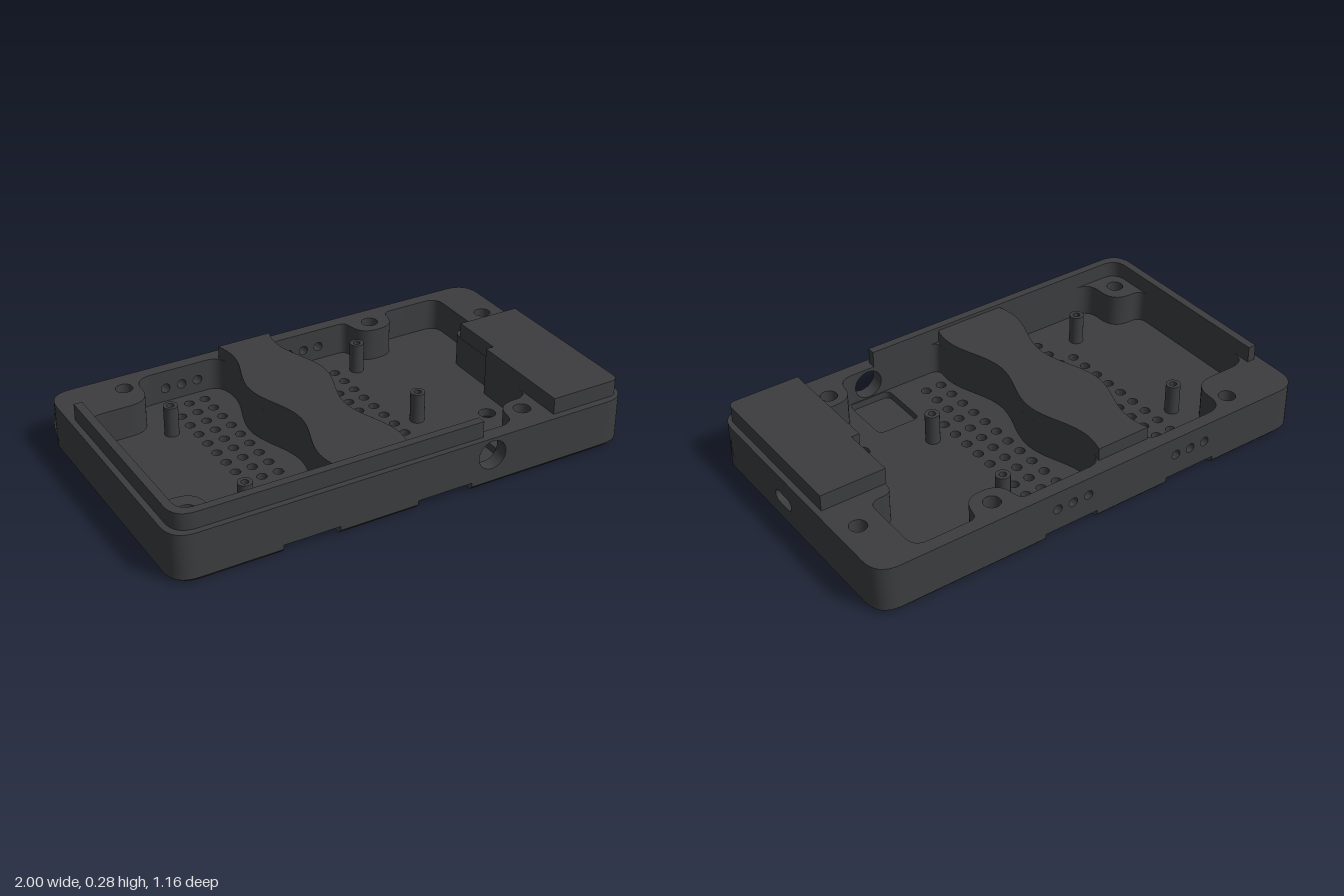
import * as THREE from 'three';
import { mergeGeometries, toCreasedNormals } from 'three/addons/utils/BufferGeometryUtils.js';

const V2 = (x, y) => new THREE.Vector2(x, y);
const DECK = 0.21, FLOOR = 0.07, CHANNEL = 0.035;

// polygon in (x, z) whose corners [x, z, r] are rounded
function rounded(corners) {
  const out = [], n = corners.length;
  corners.forEach(([x, z, r = 0], i) => {
    const c = V2(x, z);
    if (!r) { out.push(c); return; }
    const toward = (k) => {
      const [px, pz] = corners[(i + k + n) % n];
      return V2(px, pz).sub(c).setLength(r).add(c);
    };
    out.push(...new THREE.QuadraticBezierCurve(toward(-1), c, toward(1)).getPoints(8));
  });
  return out;
}
const rect = (x0, x1, z0, z1, r = 0) => rounded([[x0, z0, r], [x1, z0, r], [x1, z1, r], [x0, z1, r]]);

// circle, or a slot when w (half the straight length) is given
function ringPts(cx, cy, r, w = 0, n = 28) {
  return Array.from({ length: n }, (_, i) => {
    const a = ((i + 0.5) / n) * Math.PI * 2;
    return V2(cx + Math.cos(a) * r + Math.sign(Math.cos(a)) * w, cy + Math.sin(a) * r);
  });
}

function flat(pts, holes = []) {
  const s = new THREE.Shape(pts);
  s.holes = holes.map((h) => new THREE.Path(h));
  return s;
}
const cap = (pts, y, holes) => new THREE.ShapeGeometry(flat(pts, holes)).rotateX(Math.PI / 2).translate(0, y, 0);
const prism = (pts, y0, y1) => new THREE.ExtrudeGeometry(flat(pts), { depth: y1 - y0, bevelEnabled: false })
  .rotateX(Math.PI / 2).translate(0, y1, 0);
const level = (pts, y) => pts.map((p) => new THREE.Vector3(p.x, y, p.y));

// closed strip between two rings of points
function band(a, b) {
  const n = a.length, idx = [];
  for (let i = 0; i < n; i++) {
    const j = (i + 1) % n;
    idx.push(i, j, n + j, i, n + j, n + i);
  }
  return new THREE.BufferGeometry().setFromPoints([...a, ...b]).setIndex(idx);
}
const sleeve = (pts, y0, y1) => band(level(pts, y0), level(pts, y1));

// sideways bores: along an axis, from the outer face to an inner face
const bores = [
  { axis: 'z', at: 0.355, from: 0.58, to: 0.52, y: 0.135, r: 0.062 },
  { axis: 'x', at: 0.425, from: 1, to: 0.75, y: 0.115, r: 0.078, blind: true },
  { axis: 'x', at: -0.45, from: -1, to: -0.76, y: 0.115, r: 0.078, blind: true },
  { axis: 'x', at: 0.09, from: 1, to: 0.95, y: 0.109, r: 0.026, w: 0.033 },
];
const ventColumns = [-0.51, -0.437, -0.365, 0.065, 0.138, 0.21];
for (const x of ventColumns) bores.push({ axis: 'z', at: x, from: -0.58, to: -0.525, y: 0.13, r: 0.02 });

// upright wall along a loop, opened wherever a bore meets it
function wall(pts, y0, y1) {
  const parts = [];
  pts.forEach((p, i) => {
    const q = pts[(i + 1) % pts.length], L = p.distanceTo(q);
    if (L < 1e-4) return;
    const d = q.clone().sub(p).divideScalar(L), holes = [];
    for (const b of bores) for (const e of [b.from, b.to]) {
      const c = (b.axis === 'x' ? V2(e, b.at) : V2(b.at, e)).sub(p);
      const u = c.dot(d), reach = b.r + (b.w || 0);
      if (Math.abs(c.cross(d)) < 0.004 && u > reach && u < L - reach) holes.push(ringPts(u, b.y, b.r, b.w));
    }
    const m = new THREE.Matrix4().makeBasis(new THREE.Vector3(d.x, 0, d.y), new THREE.Vector3(0, 1, 0),
      new THREE.Vector3(-d.y, 0, d.x)).setPosition(p.x, 0, p.y);
    parts.push(new THREE.ShapeGeometry(flat([V2(0, y0), V2(L, y0), V2(L, y1), V2(0, y1)], holes)).applyMatrix4(m));
  });
  return parts;
}

// wavy edge of the central spine, wide around the large sockets
const wave = (side, z) => -0.15 + side * (0.136 + 0.034 * Math.cos((Math.PI * 2 * (z + 0.135)) / 0.57));
function waveRun(side, z0, z1, n = 40) {
  return Array.from({ length: n + 1 }, (_, i) => {
    const z = z0 + ((z1 - z0) * i) / n;
    return [wave(side, z), z];
  });
}

export function createModel() {
  const group = new THREE.Group();
  const material = new THREE.MeshStandardMaterial({ color: 0x3c3d3f, side: THREE.DoubleSide });
  const add = (name, ...geos) => {
    const clean = geos.flat().map((g) => {
      const c = g.index ? g.toNonIndexed() : g.clone();
      c.deleteAttribute('normal');
      c.deleteAttribute('uv');
      return c;
    });
    const mesh = new THREE.Mesh(toCreasedNormals(mergeGeometries(clean), 0.6), material);
    mesh.name = name;
    group.add(mesh);
  };

  // plan shapes
  const outline = rect(-1, 1, -0.58, 0.58, 0.1);
  const leftCavity = rounded([[-0.94, -0.34, 0.08], [-0.65, -0.34, 0.1], [-0.65, -0.525, 0.08],
    [wave(-1, -0.525), -0.525, 0.05], ...waveRun(-1, -0.46, 0.46), [wave(-1, 0.52), 0.52, 0.05],
    [-0.79, 0.52, 0.07], [-0.79, 0.34, 0.09], [-0.94, 0.34, 0.05]]);
  const rightCavity = rounded([[wave(1, -0.525), -0.525, 0.05], [0.34, -0.525, 0.03], [0.36, -0.405, 0.07],
    [0.515, -0.405, 0.07], [0.54, -0.525, 0.03], [0.81, -0.525, 0.06], [0.81, -0.22, 0.05], [0.7, -0.22, 0.05],
    [0.7, 0.08], [0.66, 0.08], [0.66, 0.38, 0.06], [0.5, 0.38, 0.09], [0.5, 0.52, 0.07],
    [wave(1, 0.52), 0.52, 0.05], ...waveRun(1, 0.46, -0.46)]);
  const recess = rect(0.265, 0.455, 0.28, 0.515, 0.03);
  const socket = rect(0.72, 0.95, -0.1, 0.3, 0.05);

  // vertical holes
  const vents = [];
  ventColumns.forEach((x, c) => {
    const outer = c === 0 || c === 5;
    for (let i = outer ? 1 : 0; i < (outer ? 10 : 12); i++) vents.push(ringPts(x, -0.46 + i * 0.08, 0.021, 0, 16));
  });
  const leftVents = vents.filter((v) => v[0].x < -0.2), rightVents = vents.filter((v) => v[0].x > -0.2);
  const deckScrews = [[-0.71, -0.48], [0.44, -0.48], [0.91, -0.31], [-0.87, 0.435], [0.58, 0.45]];
  const floorScrew = [0.58, 0.22];
  const screws = [...deckScrews, floorScrew];
  const sinks = screws.map(([x, z]) => ringPts(x, z, 0.065));
  const magnets = [[0.43, 0.11], [0.14, 0.08], [-0.135, 0.11], [-0.42, 0.08]].map(([z, r]) => ringPts(-0.15, z, r));

  // raised feet with a chamfered outer edge, separated by two channels
  const feet = [
    [(i) => rounded([[-1 + i, -0.58 + i, 0.1], [-0.56, -0.58 + i], [-0.56, 0.58 - i], [-1 + i, 0.58 - i, 0.1]]),
      sinks.filter((s) => s[0].x < 0)],
    [(i) => rect(-0.32, 0.02, -0.58 + i, 0.58 - i), magnets],
    [(i) => rounded([[0.265, -0.58 + i], [1 - i, -0.58 + i, 0.1], [1 - i, 0.58 - i, 0.1], [0.265, 0.58 - i]]),
      [...sinks.filter((s) => s[0].x > 0), socket]],
  ];
  for (const [plan, holes] of feet) {
    add('foot', cap(plan(0.015), 0, holes), band(level(plan(0.015), 0), level(plan(0), 0.017)),
      sleeve(plan(0), 0.017, CHANNEL));
  }
  add('channelCeiling', cap(rect(-0.56, -0.32, -0.58, 0.58), CHANNEL, leftVents),
    cap(rect(0.02, 0.265, -0.58, 0.58), CHANNEL, rightVents));
  add('ventHoles', vents.map((v) => sleeve(v, CHANNEL, FLOOR)));

  // case shell
  add('outerWall', wall(outline, CHANNEL, DECK));
  add('deck', cap(outline, DECK, [leftCavity, rightCavity, ...deckScrews.map(([x, z]) => ringPts(x, z, 0.035))]));
  add('leftCavity', wall(leftCavity, FLOOR, DECK), cap(leftCavity, FLOOR, leftVents));
  add('rightCavity', wall(rightCavity, FLOOR, DECK),
    cap(rightCavity, FLOOR, [...rightVents, recess, ringPts(...floorScrew, 0.035)]));
  add('buttonRecess', sleeve(recess, 0.04, FLOOR), cap(recess, 0.04));

  // screw holes, countersunk from below
  add('screwHoles', screws.map(([x, z], i) => {
    const bore = ringPts(x, z, 0.035);
    return [band(level(sinks[i], 0), level(bore, 0.035)), sleeve(bore, 0.035, i < deckScrews.length ? DECK : FLOOR)];
  }).flat());

  // pockets in the underside
  add('magnetSockets', magnets.map((m) => [sleeve(m, 0, 0.2), cap(m, 0.2)]).flat());
  add('connectorPocket', wall(socket, 0, 0.2), cap(socket, 0.2));

  // sideways bores
  add('sideBores', bores.map((b) => {
    const pts = ringPts(b.at, b.y, b.r, b.w);
    const ring = (e) => pts.map((p) => (b.axis === 'x' ? new THREE.Vector3(e, p.y, p.x) : new THREE.Vector3(p.x, p.y, e)));
    const parts = [band(ring(b.from), ring(b.to))];
    if (b.blind) parts.push(new THREE.ShapeGeometry(flat(pts)).rotateY(-Math.PI / 2).translate(b.to, 0, 0));
    return parts;
  }).flat());

  // parts standing above the deck
  add('spine', prism(rounded([...waveRun(-1, -0.515, 0.53), ...waveRun(1, 0.53, -0.515)]), DECK, 0.265));
  add('rim', prism(rounded([[-0.975, -0.35], [-0.94, -0.35], [-0.94, 0.52, 0.07], [0.325, 0.52],
    [0.325, 0.555], [-0.975, 0.555, 0.09]]), DECK, 0.28));
  add('connectorBlock', prism(rounded([[0.695, -0.16], [0.975, -0.16], [0.975, 0.55, 0.04], [0.66, 0.55],
    [0.66, 0.08], [0.695, 0.08]]), DECK, 0.28));

  // mounting posts
  for (const [x, z] of [[-0.6, -0.28], [-0.6, 0.36], [0.305, -0.36], [0.305, 0.12]]) {
    const profile = [V2(0, 0.12), V2(0.015, 0.12), V2(0.015, 0.2), V2(0.03, 0.2), V2(0.03, FLOOR)];
    add('post', new THREE.LatheGeometry(profile, 20).translate(x, 0, z));
  }
  return group;
}
